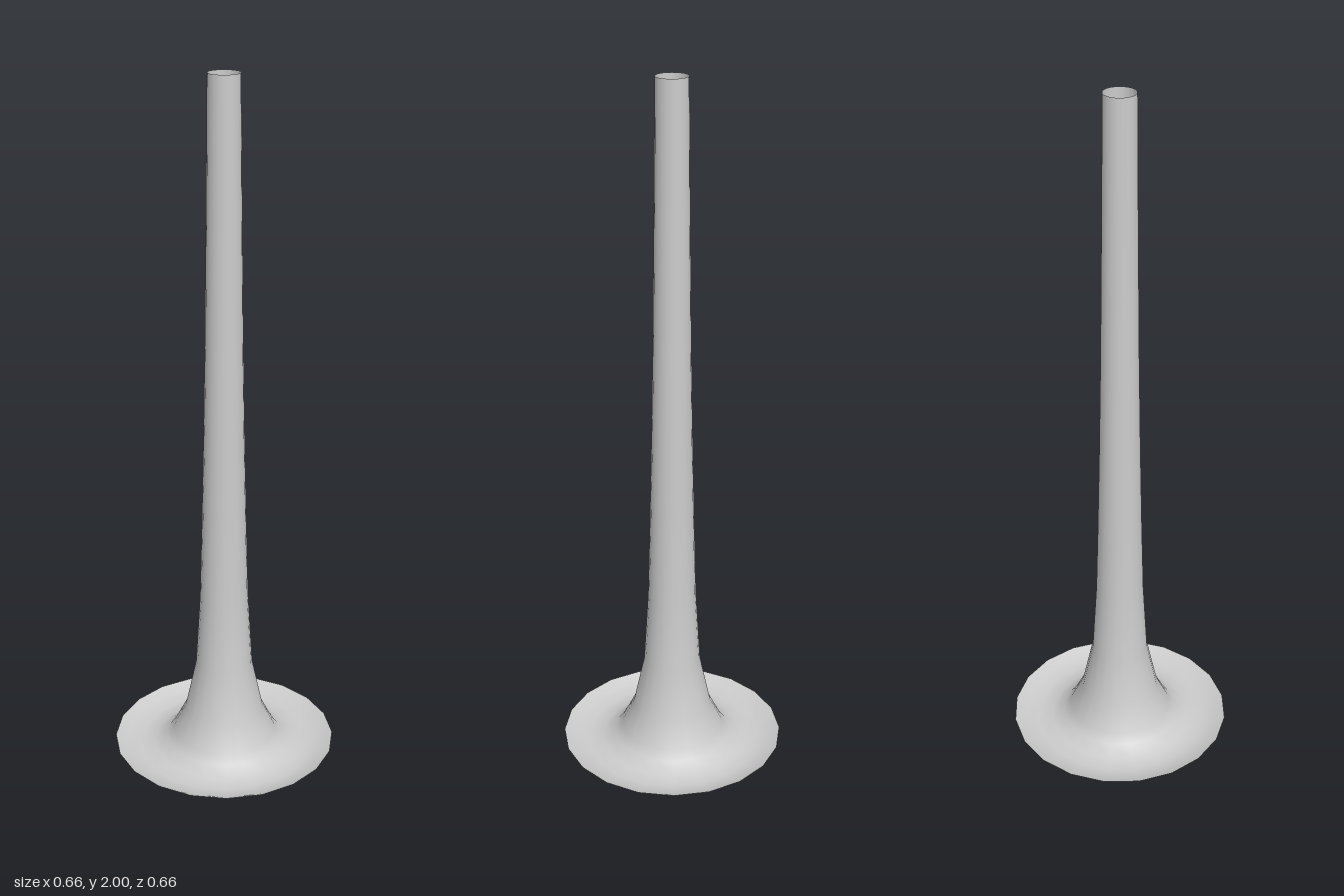
import * as THREE from 'three';

export function createModel() {
  const group = new THREE.Group();
  const material = new THREE.MeshStandardMaterial({ color: 0xcccccc, side: THREE.DoubleSide });

  // Open horn profile [radius, height]: upturned rim, flared bell, tapering tube
  const profile = [
    [0.328, 0.025], [0.295, 0.009], [0.255, 0], [0.21, 0.005], [0.172, 0.027],
    [0.152, 0.055], [0.115, 0.13], [0.083, 0.28], [0.07, 0.5], [0.064, 0.72],
    [0.058, 0.98], [0.053, 1.25], [0.049, 1.55], [0.046, 1.8], [0.044, 2],
  ].map(([r, y]) => new THREE.Vector2(r, y));

  const horn = new THREE.Mesh(new THREE.LatheGeometry(profile, 20), material);
  horn.name = 'hornBellAndTube';
  group.add(horn);
  return group;
}
